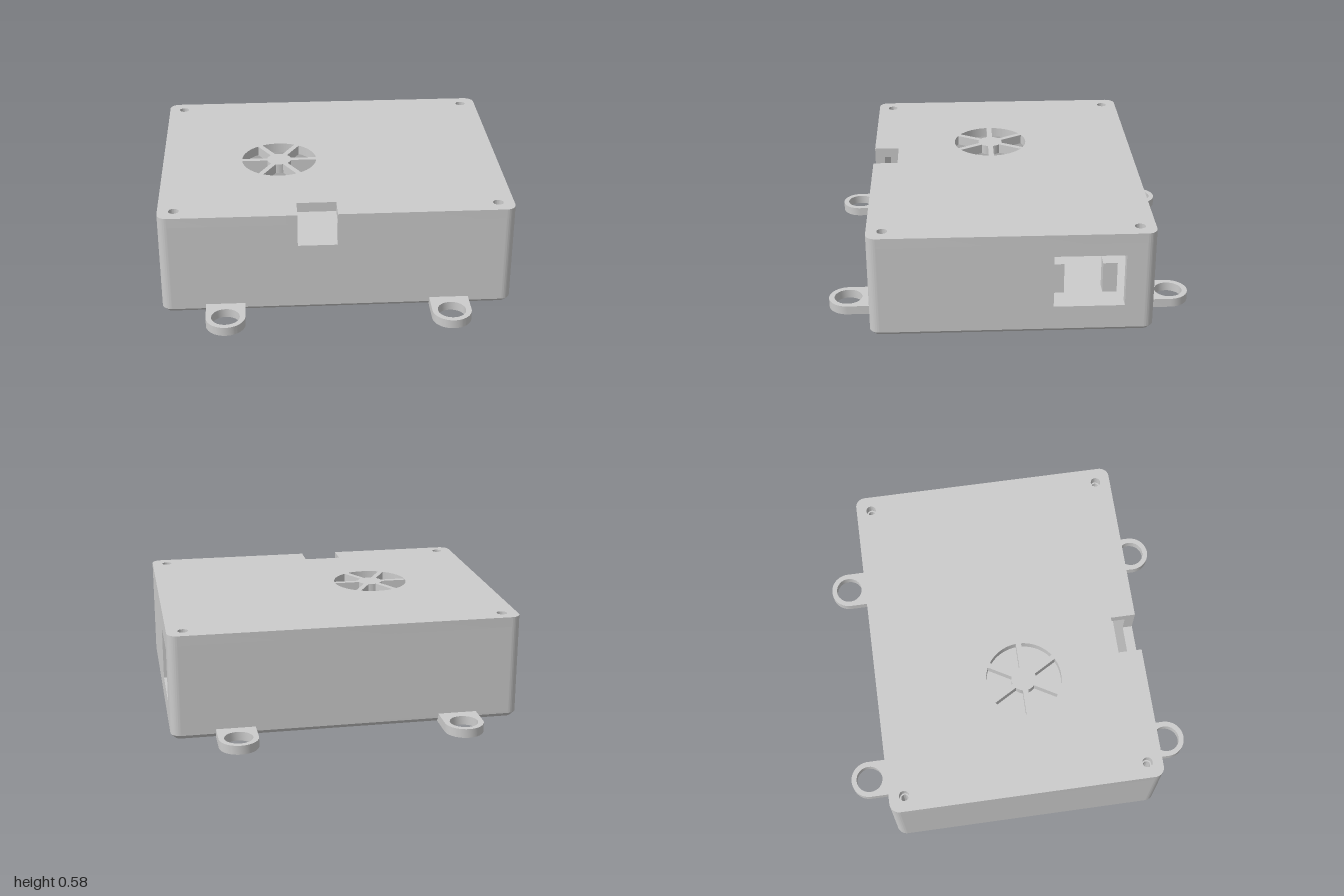
import * as THREE from 'three';
import { toCreasedNormals } from 'three/addons/utils/BufferGeometryUtils.js';

const W = 0.96, D = 0.76, R = 0.055, T = 0.055; // half width, half depth, corner radius, wall
const LID_Y = 0.53, TOP = 0.585, WALL_Y = 0.025;
const material = new THREE.MeshStandardMaterial({ color: 0xcccccc });

// Rounded rectangle in plan; optional notch in the front edge (shape y = -z)
function plan(w, d, r, notch) {
  const s = new THREE.Shape();
  s.moveTo(-w + r, -d);
  if (notch) {
    s.lineTo(notch.x0, -d);
    s.lineTo(notch.x0, -notch.z);
    s.lineTo(notch.x1, -notch.z);
    s.lineTo(notch.x1, -d);
  }
  s.lineTo(w - r, -d);
  s.absarc(w - r, -d + r, r, -Math.PI / 2, 0);
  s.absarc(w - r, d - r, r, 0, Math.PI / 2);
  s.absarc(-w + r, d - r, r, Math.PI / 2, Math.PI);
  s.absarc(-w + r, -d + r, r, Math.PI, Math.PI * 1.5);
  return s;
}

const polygon = (points) => new THREE.Shape(points.map(([x, y]) => new THREE.Vector2(x, y)));

function circle(x, y, r) {
  return new THREE.Path().absarc(x, y, r, 0, Math.PI * 2, true);
}

function extrude(shape, depth, options = {}) {
  const g = new THREE.ExtrudeGeometry(shape, { depth, bevelEnabled: false, curveSegments: 16, ...options });
  return toCreasedNormals(g, 0.5);
}

// Extrude a plan shape upwards from y
const slab = (shape, y, h) => extrude(shape, h).rotateX(-Math.PI / 2).translate(0, y, 0);

export function createModel() {
  const model = new THREE.Group();
  const add = (name, geometry, parent = model) => {
    const mesh = new THREE.Mesh(geometry, material);
    mesh.name = name;
    parent.add(mesh);
    return mesh;
  };

  // Floor with chamfered lower edge
  const c = 0.025;
  const floor = extrude(plan(W - c, D - c, R - c), 0.01,
    { bevelEnabled: true, bevelThickness: c, bevelSize: c, bevelSegments: 1 });
  add('floor', floor.rotateX(-Math.PI / 2).translate(0, c, 0));

  // Front wall with a notch open to the top, and plain back wall
  const x = W - R, z = D - R;
  const notch = { x0: -0.215, x1: 0, z: 0.62 };
  add('frontWall', extrude(polygon([
    [-x, WALL_Y], [x, WALL_Y], [x, LID_Y], [notch.x1, LID_Y], [notch.x1, 0.4],
    [notch.x0, 0.4], [notch.x0, LID_Y], [-x, LID_Y],
  ]), T).translate(0, 0, D - T));
  add('backWall', extrude(polygon([[-x, WALL_Y], [x, WALL_Y], [x, LID_Y], [-x, LID_Y]]), T)
    .translate(0, 0, -D));

  // Side walls; the left one has a rectangular port
  const side = () => polygon([[-z, WALL_Y], [z, WALL_Y], [z, LID_Y], [-z, LID_Y]]);
  const portWall = side();
  portWall.holes.push(polygon([[0.22, 0.16], [0.22, 0.46], [0.6, 0.46], [0.6, 0.16]]));
  add('leftWall', extrude(portWall, T).rotateY(Math.PI / 2).translate(W - T, 0, 0));
  add('rightWall', extrude(side(), T).rotateY(Math.PI / 2).translate(-W, 0, 0));

  // Rounded vertical corners
  for (let i = 0; i < 4; i++) {
    const sx = i === 0 || i === 3 ? 1 : -1, sy = i < 2 ? 1 : -1;
    const pie = new THREE.Shape();
    pie.moveTo(sx * x, sy * z);
    pie.absarc(sx * x, sy * z, R, i * Math.PI / 2, (i + 1) * Math.PI / 2);
    add('wallCorner', slab(pie, WALL_Y, LID_Y - WALL_Y));
  }

  // Lid with notch, screw holes and a six-slot round vent
  const lid = plan(W, D, R, notch);
  const screws = [[1, 1], [-1, 1], [1, -1], [-1, -1]].map(([a, b]) => [a * 0.872, b * 0.675]);
  for (const [sx, sy] of screws) lid.holes.push(circle(sx, sy, 0.028));
  const vx = -0.295, vy = -0.07, outer = 0.213, inner = 0.07, half = 0.015;
  for (let i = 0; i < 6; i++) {
    const a0 = i * Math.PI / 3, a1 = a0 + Math.PI / 3;
    const o = Math.asin(half / outer), n = Math.asin(half / inner);
    const slot = new THREE.Path();
    slot.absarc(vx, vy, outer, a0 + o, a1 - o, false);
    slot.absarc(vx, vy, inner, a1 - n, a0 + n, true);
    slot.closePath();
    lid.holes.push(slot);
  }
  add('lid', slab(lid, LID_Y, TOP - LID_Y));

  // Screw bosses hanging in the corners under the lid
  for (const [sx, sy] of screws) {
    const boss = new THREE.Shape().absarc(sx, sy, 0.065, 0, Math.PI * 2);
    boss.holes.push(circle(sx, sy, 0.02));
    add('screwBoss', slab(boss, 0.27, LID_Y - 0.27));
  }

  // Supports standing on the floor inside
  for (const pz of [-0.265, -0.56]) {
    add('portSupport', new THREE.BoxGeometry(0.08, 0.2, 0.08).translate(0.6, 0.14, pz));
  }
  add('standoff', new THREE.CylinderGeometry(0.05, 0.05, 0.2, 32).translate(-0.65, 0.14, 0.03));

  // Four mounting ears with through holes
  for (const sx of [1, -1]) for (const sz of [1, -1]) {
    const r = 0.107, cy = 0.893, root = 0.735;
    const ear = new THREE.Shape();
    ear.moveTo(-r, root);
    ear.lineTo(r, root);
    ear.absarc(0, cy, r, 0, Math.PI);
    ear.closePath();
    ear.holes.push(circle(0, cy, 0.077));
    const mesh = add('mountingEar', slab(ear, 0, 0.05));
    mesh.rotation.y = sz > 0 ? Math.PI : 0;
    mesh.position.x = sx * 0.613;
  }
  return model;
}
